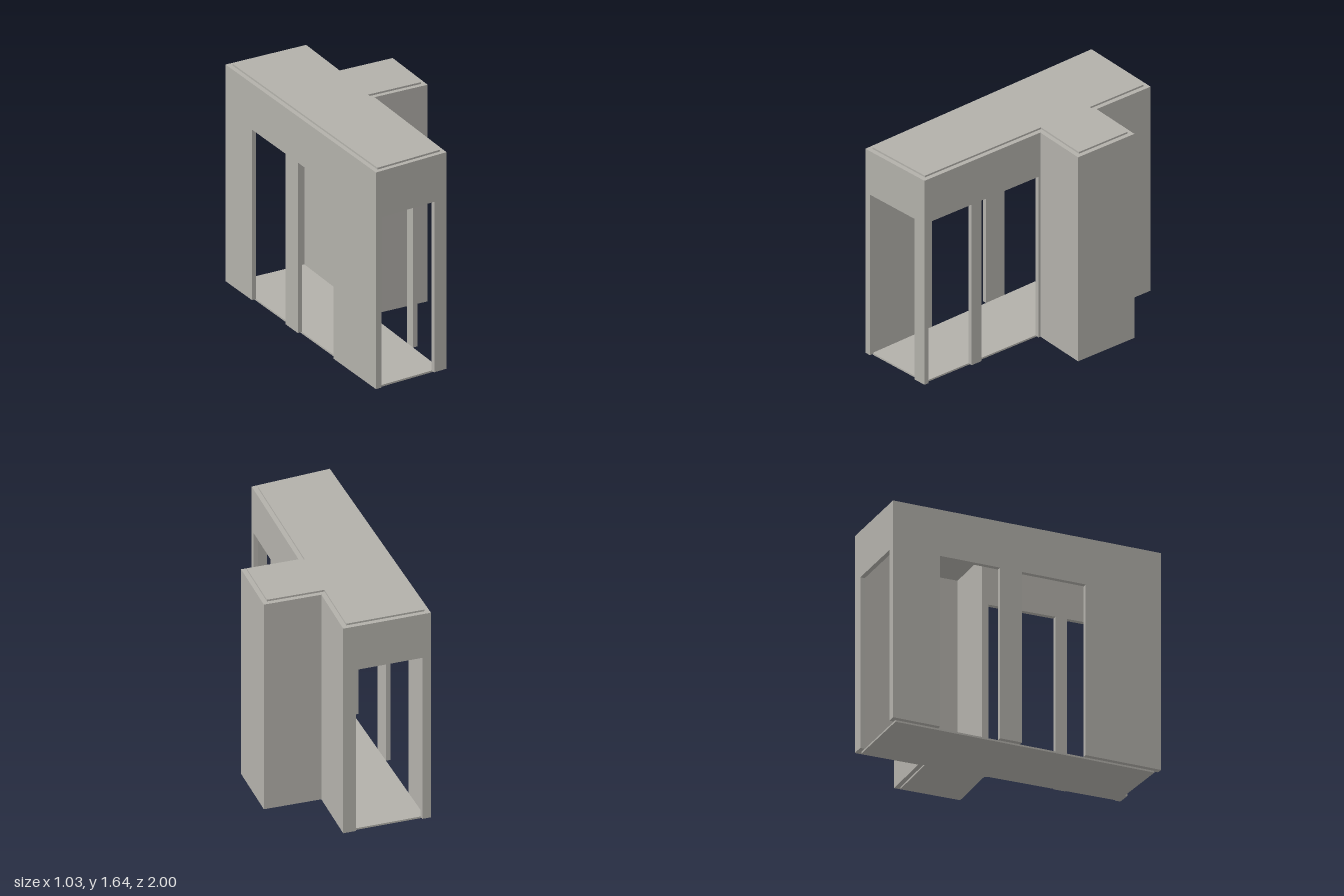
import * as THREE from 'three';

const T = 0.033;       // wall thickness
const BASE = 0.013;    // wall foot, top of floor slab
const TOP = 1.623;     // wall top, underside of roof slab
const HEIGHT = 1.636;
const HEAD = 1.28;     // top of the openings

// Outer plan corners [x, z], walked counter-clockwise seen from above.
// Each wall starts at its corner; openings are [start, end] along the wall.
const WALLS = [
  { name: 'frontWall', at: [-0.465, 1.0], openings: [[0.045, 0.475]] },
  { name: 'sideWallWithDoors', at: [0.107, 0.947], openings: [[0.035, 0.405], [0.49, 0.98]] },
  { name: 'bayFrontWall', at: [0.107, -0.05], openings: [] },
  { name: 'bayEndWall', at: [0.515, -0.05], openings: [] },
  { name: 'bayBackWall', at: [0.515, -0.535], openings: [] },
  { name: 'sideWallBack', at: [0.107, -0.535], openings: [] },
  { name: 'backWall', at: [0.107, -1.0], openings: [[0.09, 0.564]] },
  { name: 'longWall', at: [-0.519, -0.99], openings: [[0.35, 0.794], [0.957, 1.43]] },
];

// Length, heading and mitre of every wall
function layOut() {
  const n = WALLS.length;
  const walls = WALLS.map((w, i) => {
    const next = WALLS[(i + 1) % n].at;
    const dx = next[0] - w.at[0], dz = next[1] - w.at[1];
    return { ...w, length: Math.hypot(dx, dz), heading: Math.atan2(-dz, dx) };
  });
  walls.forEach((w, i) => {
    const turn = w.heading - walls[(i + n - 1) % n].heading;
    w.mitre = T * Math.tan(Math.atan2(Math.sin(turn), Math.cos(turn)) / 2);
  });
  walls.forEach((w, i) => { w.endMitre = walls[(i + 1) % n].mitre; });
  return walls;
}

// Wall elevation with door notches, extruded inwards and mitred at both ends
function wallGeometry({ length, openings, mitre, endMitre }) {
  const s = new THREE.Shape();
  s.moveTo(0, BASE);
  for (const [a, b] of openings) {
    s.lineTo(a, BASE);
    s.lineTo(a, HEAD);
    s.lineTo(b, HEAD);
    s.lineTo(b, BASE);
  }
  s.lineTo(length, BASE);
  s.lineTo(length, TOP);
  s.lineTo(0, TOP);
  s.closePath();
  const g = new THREE.ExtrudeGeometry(s, { depth: T, bevelEnabled: false });
  g.translate(0, 0, -T);
  const p = g.attributes.position;
  for (let i = 0; i < p.count; i++) {
    if (p.getZ(i) > -T / 2) continue;
    if (p.getX(i) < 1e-4) p.setX(i, mitre);
    else if (p.getX(i) > length - 1e-4) p.setX(i, length - endMitre);
  }
  g.computeVertexNormals();
  return g;
}

export function createModel() {
  const model = new THREE.Group();
  model.name = 'room';
  const plaster = new THREE.MeshStandardMaterial({ color: 0xb2b0aa });
  plaster.name = 'warm grey plaster';
  const walls = layOut();

  const add = (geometry, name) => {
    const mesh = new THREE.Mesh(geometry, plaster);
    mesh.name = name;
    model.add(mesh);
    return mesh;
  };

  // Walls
  for (const w of walls) {
    const mesh = add(wallGeometry(w), w.name);
    mesh.position.set(w.at[0], 0, w.at[1]);
    mesh.rotation.y = w.heading;
  }

  // Floor and roof slabs follow the inner faces of the walls
  const inner = walls.map(({ at, heading, mitre }) => {
    const c = Math.cos(heading), s = Math.sin(heading);
    return new THREE.Vector2(at[0] + c * mitre - s * T, -at[1] + s * mitre + c * T);
  });
  const slab = (y0, y1, name) => {
    const g = new THREE.ExtrudeGeometry(new THREE.Shape(inner), { depth: y1 - y0, bevelEnabled: false });
    g.rotateX(-Math.PI / 2);
    g.translate(0, y0, 0);
    add(g, name);
  };
  slab(0, BASE, 'floor');
  slab(TOP, HEIGHT, 'roof');

  return model;
}
